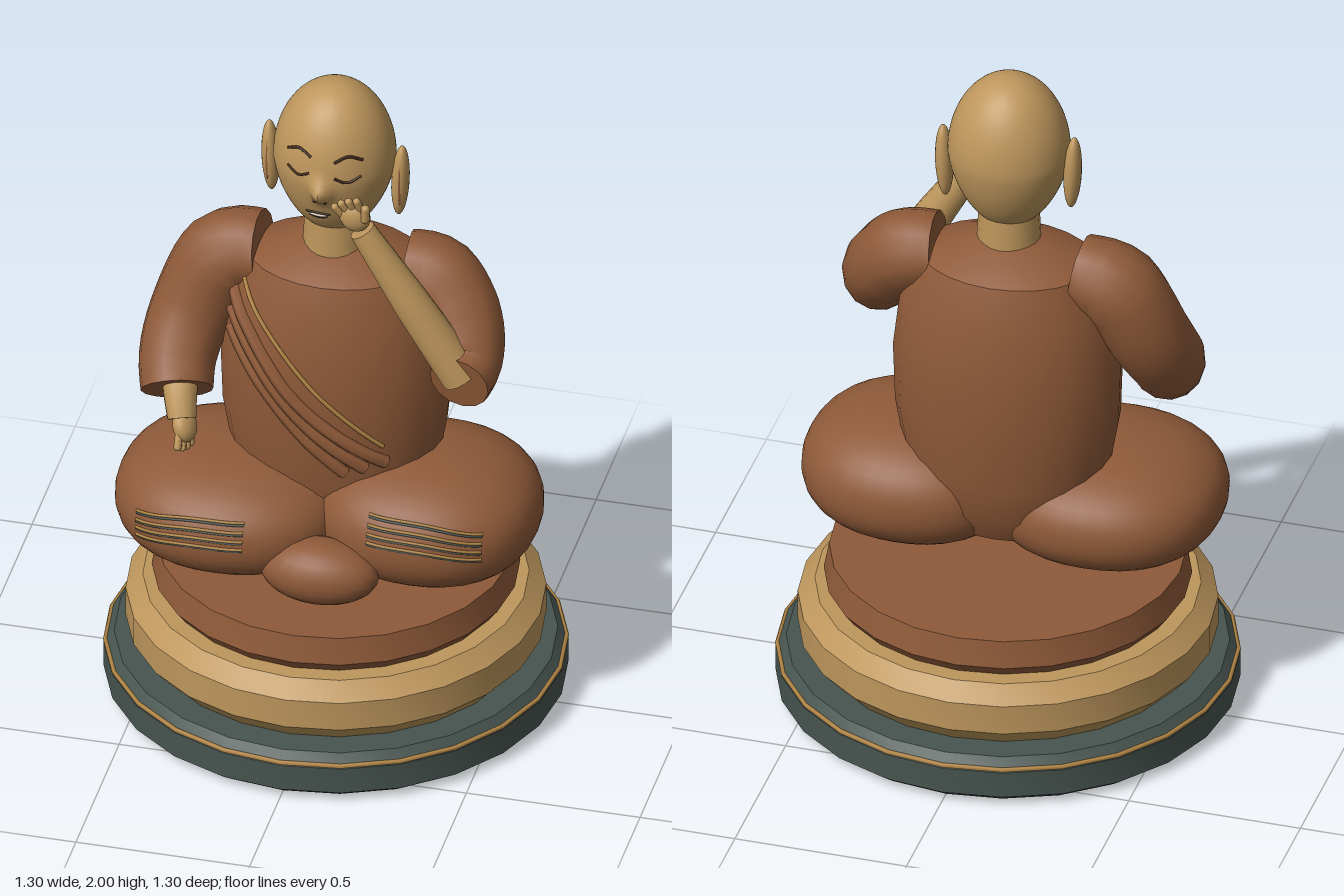
import * as THREE from 'three';
import { toCreasedNormals } from 'three/addons/utils/BufferGeometryUtils.js';

const V = (x, y, z) => new THREE.Vector3(x, y, z);
const mat = (name, color, side = THREE.FrontSide) => {
  const m = new THREE.MeshStandardMaterial({ color, side });
  m.name = name;
  return m;
};

export function createModel() {
  const root = new THREE.Group();
  root.name = 'seatedMonk';
  const robe = mat('robeBrown', 0x8f5a39);
  const skin = mat('skinTan', 0xbd965c);
  const stone = mat('darkStone', 0x47544f);
  const trim = mat('goldTrim', 0xb08444);
  const ink = mat('darkInk', 0x3a2416);
  const ivory = mat('ivory', 0xe0d5c0);

  const add = (name, geo, material, parent = root) => {
    const m = new THREE.Mesh(geo, material);
    m.name = name;
    parent.add(m);
    return m;
  };
  const lathe = (pts, seg) => toCreasedNormals(
    new THREE.LatheGeometry(pts.map(([r, y]) => new THREE.Vector2(r, y)), seg), 0.6);
  const ellipsoid = (name, c, h, material, parent = root) => {
    const m = add(name, new THREE.SphereGeometry(1, 20, 14), material, parent);
    m.position.set(...c);
    m.scale.set(...h);
    return m;
  };
  // tapered tube with flat ends; radii are spread evenly along the path
  const sweep = (points, radii, seg = 20, sides = 14) => {
    const path = new THREE.CatmullRomCurve3(points.map(p => V(...p)));
    const geo = new THREE.TubeGeometry(path, seg, 1, sides);
    const pos = geo.attributes.position, p = V();
    for (let i = 0; i <= seg; i++) {
      const own = path.getPointAt(i / seg);
      const end = i === 0 || i === seg;
      const c = end ? path.getPointAt(i ? 1 - 1 / seg : 1 / seg) : own;
      const f = (i / seg) * (radii.length - 1), k = Math.min(Math.floor(f), radii.length - 2);
      const r = end ? 0 : THREE.MathUtils.lerp(radii[k], radii[k + 1], f - k);
      for (let j = 0; j <= sides; j++) {
        const n = i * (sides + 1) + j;
        p.fromBufferAttribute(pos, n).sub(own).multiplyScalar(r).add(c);
        pos.setXYZ(n, p.x, p.y, p.z);
      }
    }
    return toCreasedNormals(geo, 0.9);
  };
  // thin cord through 2D points, laid onto a surface z(x, y)
  const cord = (name, pts, surface, r, material) => {
    const flat = new THREE.CatmullRomCurve3(pts.map(([x, y]) => V(x, y, 0)));
    const path = flat.getPoints(14).map(p => V(p.x, p.y, surface(p.x, p.y)));
    add(name, new THREE.TubeGeometry(new THREE.CatmullRomCurve3(path), 24, r, 6), material);
  };

  // stepped pedestal
  add('pedestalFoot', lathe([[0, 0], [0.61, 0], [0.65, 0.03], [0.65, 0.11], [0.62, 0.145], [0, 0.145]], 24), stone);
  const ring = add('pedestalTrim', new THREE.TorusGeometry(0.644, 0.007, 6, 24), trim);
  ring.rotation.x = Math.PI / 2;
  ring.position.y = 0.116;
  add('pedestalBand', lathe([[0, 0.14], [0.54, 0.145], [0.588, 0.2], [0.588, 0.29], [0.54, 0.336], [0, 0.336]], 24), skin);
  add('cushion', lathe([[0, 0.335], [0.49, 0.336], [0.515, 0.37], [0.5, 0.45], [0, 0.45]], 24), robe);

  // crossed legs: rounded super-ellipsoids
  const P = 2.25;
  const legs = [
    { name: 'leftLeg', c: [0.28, 0.652, 0.05], h: [0.32, 0.188, 0.3] },
    { name: 'rightLeg', c: [-0.265, 0.635, 0.095], h: [0.335, 0.175, 0.318] }
  ];
  for (const { name, c, h } of legs) {
    const geo = new THREE.SphereGeometry(1, 32, 24);
    const pos = geo.attributes.position;
    for (let i = 0; i < pos.count; i++) {
      const q = [pos.getX(i), pos.getY(i), pos.getZ(i)];
      const s = q.reduce((a, v) => a + Math.abs(v) ** P, 0) ** (-1 / P);
      pos.setXYZ(i, ...q.map((v, k) => c[k] + v * s * h[k]));
    }
    add(name, toCreasedNormals(geo, 1.2), robe);
    // embroidered lines across the knee
    const surface = (x, y) => c[2] + h[2] *
      Math.max(0, 1 - Math.abs((x - c[0]) / h[0]) ** P - Math.abs((y - c[1]) / h[1]) ** P) ** (1 / P);
    const left = c[0] > 0, s = left ? 1 : -1;
    for (let k = 0; k < 4; k++) {
      const y = (left ? 0.672 : 0.635) + k * 0.024;
      const line = d => [[s * 0.17, y + 0.012 + d], [s * 0.34, y + 0.008 + d], [s * 0.49, y - 0.022 + d]];
      cord('kneeLineShade', line(-0.006), (x, yy) => surface(x, yy) - 0.001, 0.004, stone);
      cord('kneeLine', line(0), surface, 0.0045, trim);
    }
  }
  ellipsoid('tuckedFoot', [0.035, 0.565, 0.33], [0.17, 0.095, 0.1], robe);

  // torso
  const body = [[0.2, 0.56], [0.27, 0.65], [0.295, 0.76], [0.322, 0.92], [0.328, 1.1], [0.305, 1.3], [0.25, 1.415], [0.1, 1.48], [0, 1.48]];
  const depth = 0.735;
  const torso = add('torso', lathe(body, 24), robe);
  torso.scale.z = depth;
  const chest = (x, y) => {
    const k = Math.max(1, body.findIndex(b => b[1] >= y));
    const [r0, y0] = body[k - 1], [r1, y1] = body[k];
    const r = r0 + (r1 - r0) * (y - y0) / (y1 - y0);
    return depth * Math.sqrt(Math.max(0, r * r - x * x));
  };

  // diagonal sash folds with a bright hem
  for (let k = 0; k < 3; k++) {
    cord('sashFold', [[-0.27, 1.32 - 0.055 * k], [-0.06, 1.06 - 0.045 * k], [0.19 - 0.055 * k, 0.86 - 0.015 * k]],
      (x, y) => chest(x, y) + 0.002, 0.02, robe);
  }
  cord('sashHem', [[-0.255, 1.38], [-0.03, 1.13], [0.185, 0.92]], (x, y) => chest(x, y) + 0.004, 0.006, trim);

  // sleeves and arms
  add('rightSleeve', sweep([[-0.18, 1.4, 0], [-0.31, 1.37, 0], [-0.4, 1.2, 0.04], [-0.425, 1.08, 0.12], [-0.405, 0.99, 0.21]],
    [0.108, 0.125, 0.12, 0.112, 0.1]), robe);
  add('rightForearm', sweep([[-0.41, 1.07, 0.16], [-0.395, 1.02, 0.215], [-0.378, 0.955, 0.262]], [0.055, 0.048, 0.04]), skin);
  add('leftSleeve', sweep([[0.18, 1.4, 0], [0.29, 1.38, 0], [0.385, 1.27, 0.06], [0.41, 1.19, 0.13], [0.4, 1.165, 0.22]],
    [0.108, 0.12, 0.115, 0.1, 0.085]), robe);
  add('leftForearm', sweep([[0.42, 1.15, 0.165], [0.27, 1.39, 0.175], [0.105, 1.655, 0.182]], [0.062, 0.054, 0.036]), skin);

  // hands, fingers along local +y
  const hand = (name, position, direction) => {
    const g = new THREE.Group();
    g.name = name;
    ellipsoid('palm', [0, 0.035, 0], [0.044, 0.048, 0.03], skin, g);
    for (let i = 0; i < 4; i++) {
      const x = (i - 1.5) * 0.021;
      const f = add('finger', new THREE.CapsuleGeometry(0.0115, 0.036, 4, 8), skin, g);
      f.position.set(x, 0.08 - Math.abs(x) * 0.25, 0.01);
      f.rotation.set(0.25, 0, -x * 5);
    }
    const t = add('thumb', new THREE.CapsuleGeometry(0.013, 0.035, 4, 8), skin, g);
    t.position.set(0.042, 0.045, 0.018);
    t.rotation.z = -0.45;
    g.position.set(...position);
    g.quaternion.setFromUnitVectors(V(0, 1, 0), V(...direction).normalize());
    root.add(g);
  };
  hand('rightHand', [-0.38, 0.975, 0.25], [0.03, -0.09, 0.04]);
  hand('leftHand', [0.115, 1.645, 0.185], [-0.4, 0.9, 0.05]);

  // neck
  const neck = add('neck', new THREE.CylinderGeometry(0.085, 0.092, 0.14, 20), skin);
  neck.position.set(0, 1.51, 0.01);

  // egg-shaped head with a drawn-out nose
  const headWidth = y => {
    const u = (y - 1.76) / 0.24;
    return 0.173 * Math.sqrt(Math.max(0, 1 - u * u)) * (u < 0 ? 1 + 0.15 * u : 1);
  };
  const nose = (x, y) => 0.045 * Math.exp(-((x / 0.024) ** 2) - ((y - 1.735) / 0.035) ** 2);
  const face = (x, y) => 0.012 + 0.97 * Math.sqrt(Math.max(0, headWidth(y) ** 2 - x * x)) + nose(x, y);
  const headGeo = new THREE.SphereGeometry(1, 64, 48);
  const hp = headGeo.attributes.position;
  for (let i = 0; i < hp.count; i++) {
    const y = 1.76 + 0.24 * hp.getY(i);
    const ringR = Math.hypot(hp.getX(i), hp.getZ(i)) || 1;
    const w = headWidth(y), x = w * hp.getX(i) / ringR, z = hp.getZ(i) / ringR;
    hp.setXYZ(i, x, y, 0.012 + 0.97 * w * z + (z > 0 ? nose(x, y) : 0));
  }
  add('head', toCreasedNormals(headGeo, 1.2), skin);

  // ears
  for (const s of [-1, 1]) {
    const y = s < 0 ? 1.72 : 1.695;
    const ear = ellipsoid('ear', [s * 0.187, y, 0.005], [0.025, 0.115, 0.034], skin);
    ear.rotation.z = -s * 0.04;
    ellipsoid('earHollow', [s * 0.19, y, 0.026], [0.008, 0.075, 0.013], robe);
  }

  // closed eyes, brows, nostrils and mouth
  for (const [x, dy] of [[-0.067, 0.004], [0.073, -0.004]]) {
    const arc = (y, w, bend) => [[x - w, y + dy], [x, y + dy + bend], [x + w, y + dy]];
    cord('closedEye', arc(1.79, 0.035, -0.015), face, 0.004, ink);
    cord('eyebrow', arc(1.838, 0.037, 0.016), face, 0.0045, ink);
  }
  for (const x of [-0.016, 0.014]) ellipsoid('nostril', [x, 1.708, face(x, 1.708)], [0.005, 0.005, 0.004], ink);
  cord('upperLip', [[-0.05, 1.642], [-0.015, 1.646], [0.02, 1.642]], face, 0.004, ink);
  cord('teeth', [[-0.038, 1.636], [-0.015, 1.634], [0.008, 1.636]], face, 0.005, ivory);
  cord('lowerLip', [[-0.042, 1.63], [-0.015, 1.624], [0.012, 1.63]], face, 0.003, ink);

  return root;
}
